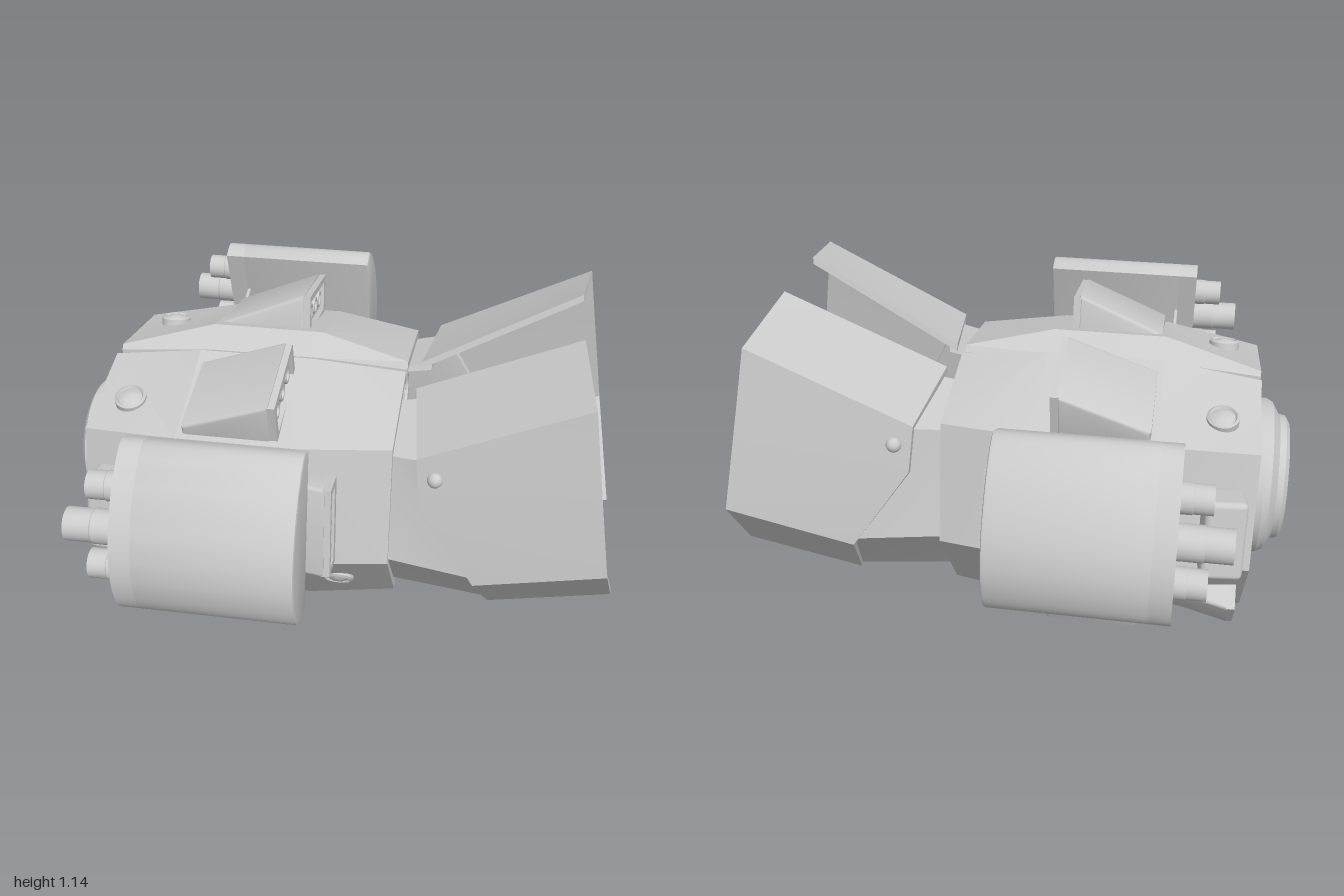
import * as THREE from 'three';
import { toCreasedNormals } from 'three/addons/utils/BufferGeometryUtils.js';
import { RoundedBoxGeometry } from 'three/addons/geometries/RoundedBoxGeometry.js';

const grey = new THREE.MeshStandardMaterial({ color: 0xcccccc });

function add(parent, name, geo, x = 0, y = 0, z = 0) {
  const m = new THREE.Mesh(geo, grey);
  m.name = name;
  m.position.set(x, y, z);
  parent.add(m);
  return m;
}

// Thick faceted plate through cross-sections of [x, y, z], thickened towards the long axis
function plate(outer, t) {
  const O = outer.map(r => r.map(p => new THREE.Vector3(...p)));
  const I = O.map(r => r.map(p => p.clone().addScaledVector(new THREE.Vector3(0, 0.45 - p.y, -p.z).normalize(), t)));
  const pts = [];
  const quad = (a, b, c, d) => pts.push(a, b, c, a, c, d);
  const m = O.length - 1, n = O[0].length - 1;
  for (let i = 0; i < m; i++) {
    for (let j = 0; j < n; j++) {
      quad(O[i][j], O[i][j + 1], O[i + 1][j + 1], O[i + 1][j]);
      quad(I[i][j], I[i + 1][j], I[i + 1][j + 1], I[i][j + 1]);
    }
    quad(O[i][0], O[i + 1][0], I[i + 1][0], I[i][0]);
    quad(O[i + 1][n], O[i][n], I[i][n], I[i + 1][n]);
  }
  for (let j = 0; j < n; j++) {
    quad(O[0][j + 1], O[0][j], I[0][j], I[0][j + 1]);
    quad(O[m][j], O[m][j + 1], I[m][j + 1], I[m][j]);
  }
  return toCreasedNormals(new THREE.BufferGeometry().setFromPoints(pts), 0.22);
}

// Turned part along x; dir is the way the profile's height points
function turned(profile, dir, seg = 40) {
  const g = new THREE.LatheGeometry(profile.map(p => new THREE.Vector2(...p)), seg);
  return toCreasedNormals(g.rotateZ(-dir * Math.PI / 2), 0.4);
}

// Outline in (z, y), extruded along x from x0 to x1
function alongX(shape, x0, x1, bevel = 0) {
  const g = new THREE.ExtrudeGeometry(shape, {
    depth: x1 - x0 - 2 * bevel, bevelEnabled: bevel > 0, bevelSize: bevel, bevelThickness: bevel,
    bevelOffset: -bevel, bevelSegments: 2,
  });
  // local x becomes -z, so outlines are given with z negated
  return toCreasedNormals(g.rotateY(Math.PI / 2).translate(x0 + bevel, 0, 0), 0.6);
}
const shape = pts => new THREE.Shape(pts.map(p => new THREE.Vector2(...p)));
const outline = pts => shape(pts.map(([z, y]) => [-z, y]));

// Group whose local x runs along the hull (dir) and local z points out of the face
function mount(parent, name, x, y, z, ny, nz, dir = 1) {
  const g = new THREE.Group();
  g.name = name;
  const X = new THREE.Vector3(dir, 0, 0), N = new THREE.Vector3(0, ny, nz).normalize();
  g.quaternion.setFromRotationMatrix(new THREE.Matrix4().makeBasis(X, N.clone().cross(X), N));
  g.position.set(x, y, z);
  parent.add(g);
  return g;
}

// Soft-edged wedge, L long and W wide, rising from h0 to h1
function wedge(g, L, W, h0, h1, base) {
  const b = 0.014;
  const s = shape([[b, base], [L - b, base], [L - b, h1 - b], [b, h0 - b]]);
  const geo = new THREE.ExtrudeGeometry(s, { depth: W - 2 * b, bevelSize: b, bevelThickness: b, bevelSegments: 3 });
  add(g, 'wedgeBody', toCreasedNormals(geo.rotateX(Math.PI / 2).translate(0, W / 2 - b, 0), 0.6));
}

// Wedge vent with a framed opening and three round outlets at its high end
function scoop(g, L, W, H, base = -0.06) {
  const d = 0.03;
  wedge(g, L - d + 0.01, W, 0.02, H, base);
  const rect = (w, lo, hi) => shape([[-w, lo], [w, lo], [w, hi], [-w, hi]]);
  const frame = rect(W / 2 - 0.004, base, H - 0.002);
  frame.holes.push(rect(W / 2 - 0.03, 0, H - 0.025));
  const fg = new THREE.ExtrudeGeometry(frame, { depth: d, bevelEnabled: false });
  add(g, 'scoopFrame', fg.rotateX(Math.PI / 2).rotateZ(Math.PI / 2).translate(L - d, 0, 0));
  const r = Math.min(0.032, (H - 0.03) / 2);
  for (const k of [-1, 0, 1]) {
    add(g, 'scoopOutlet', turned([[r, 0], [r, 0.012], [r * 0.7, 0.012], [r * 0.6, 0.003], [0, 0.003]], 1, 16),
      L - d + 0.01, k * (W - 0.06) / 3.1, (H - 0.025) / 2);
  }
}

function cap(g, r) {
  const geo = turned([[r, -0.03], [r, 0.006], [r * 0.85, 0.012], [r * 0.75, 0.004], [r * 0.4, 0.014], [0, 0.018]], 1, 28);
  add(g, 'capDisc', geo.rotateY(-Math.PI / 2));
}

function buildSide() {
  const s = new THREE.Group();

  // Armour shell: gap edge, ridge, shoulder, waist, lower lip
  const section = (x, a) => [0, 1, 2, 3, 4].map(i => [x, a[2 * i], a[2 * i + 1]]);
  add(s, 'armourShell', plate([
    section(-0.87, [0.855, 0.02, 0.87, 0.035, 0.79, 0.41, 0.38, 0.49, 0.04, 0.24]),
    section(-0.53, [0.885, 0.02, 0.95, 0.095, 0.83, 0.48, 0.39, 0.55, 0, 0.26]),
    section(-0.12, [0.885, 0.02, 0.95, 0.095, 0.83, 0.48, 0.39, 0.55, 0, 0.26]),
    section(0.2, [0.865, 0.02, 0.89, 0.035, 0.81, 0.41, 0.38, 0.49, 0.04, 0.24]),
  ], 0.035));

  // Sleeve and exhaust petal
  add(s, 'petalSleeve', plate([
    [[0.17, 0.82, 0.12], [0.17, 0.775, 0.39], [0.17, 0.39, 0.47], [0.17, 0.13, 0.27]],
    [[0.28, 0.84, 0.12], [0.32, 0.79, 0.43], [0.52, 0.37, 0.515], [0.57, 0.095, 0.29]],
  ], 0.025));
  add(s, 'exhaustPetal', plate([
    [[0.245, 0.86, 0.09], [0.285, 0.815, 0.455], [0.3, 0.65, 0.485], [0.5, 0.36, 0.535], [0.555, 0.085, 0.30]],
    [[0.80, 1.145, 0.16], [0.84, 1.08, 0.485], [0.87, 0.9, 0.512], [0.94, 0.49, 0.575], [1.0, 0.16, 0.28]],
  ], 0.025));
  add(s, 'petalBolt', new THREE.SphereGeometry(0.027, 20, 14), 0.35, 0.75, 0.472);

  // Vents, blocks and caps on the shell faces
  scoop(mount(s, 'topScoop', -0.51, 0.887, 0.3, 0.98, 0.2), 0.33, 0.33, 0.135, -0.08);
  scoop(mount(s, 'sideScoop', -0.33, 0.57, 0.525, 0.16, 0.985), 0.35, 0.34, 0.085);
  scoop(mount(s, 'frontScoop', -0.56, 0.17, 0.365, -0.577, 0.816, -1), 0.28, 0.16, 0.075, -0.04);
  const lower = mount(s, 'lowerBlock', -0.335, 0.365, 0.532, -0.577, 0.816);
  lower.rotateZ(-Math.PI / 2);
  wedge(lower, 0.345, 0.33, 0.035, 0.1, -0.03);
  const block = mount(s, 'sideBlock', -0.765, 0.54, 0.52, 0.16, 0.985);
  block.rotateY(-0.12);
  add(block, 'blockPlate', new RoundedBoxGeometry(0.14, 0.28, 0.13, 3, 0.02));
  cap(mount(s, 'roofCap', -0.74, 0.85, 0.29, 0.96, 0.26), 0.055);
  cap(mount(s, 'lowerCap', 0.01, 0.22, 0.402, -0.577, 0.816), 0.058);

  // Gun pod: D-shaped housing with a rimmed front and three barrels
  const arc = new THREE.SplineCurve([[0.65, 0.955], [0.73, 0.975], [0.845, 0.885], [0.93, 0.75],
    [0.96, 0.62], [0.94, 0.5], [0.885, 0.435], [0.79, 0.405]].map(p => new THREE.Vector2(...p)));
  const pod = arc.getPoints(36).map(p => [p.x, p.y]);
  const rim = outline(pod);
  rim.holes.push(outline(pod.map(([z, y]) => [0.81 + (z - 0.81) * 0.84, 0.69 + (y - 0.69) * 0.9])));
  add(s, 'podHousing', alongX(outline(pod), -0.56, -0.035, 0.01));
  add(s, 'podRim', alongX(rim, -0.62, -0.55));
  for (const [y, z, r, len] of [[0.84, 0.775, 0.05, 0.16], [0.715, 0.828, 0.058, 0.23], [0.58, 0.852, 0.052, 0.16]]) {
    add(s, 'barrel', turned([[r, 0], [r, len * 0.6], [r * 0.95, len * 0.62], [r * 0.95, len], [r * 0.68, len],
      [r * 0.6, len - 0.08], [0, len - 0.08]], -1, 28), -0.56, y, z);
  }
  for (const x of [-0.545, -0.315]) {
    for (const [z0, y0, z1, y1] of [[0.47, 0.715, 0.72, 0.79], [0.5, 0.55, 0.8, 0.495]]) {
      const path = new THREE.LineCurve3(new THREE.Vector3(x, y0, z0), new THREE.Vector3(x, y1, z1));
      add(s, 'podStrut', new THREE.TubeGeometry(path, 1, 0.008, 10));
    }
  }

  // Exhaust nozzles
  for (const [y, z] of [[0.65, 0.215], [0.41, 0.26]]) {
    add(s, 'nozzle', turned([[0.105, 0], [0.105, 0.05], [0.095, 0.07], [0.085, 0.07], [0.08, 0.11], [0.065, 0.11],
      [0.052, 0.01], [0, 0.01]], 1), 0.07, y, z);
  }
  return s;
}

export function createModel() {
  const model = new THREE.Group();
  model.name = 'thrusterPod';

  const left = buildSide(), right = buildSide();
  left.name = 'leftSide';
  right.name = 'rightSide';
  right.scale.z = -1;
  model.add(left, right);

  // Inner core and rear panels
  const mirrored = half => outline([...half, ...half.map(([z, y]) => [-z, y]).reverse()]);
  add(model, 'core', alongX(mirrored([[0.04, 0.83], [0.37, 0.76], [0.45, 0.4], [0.24, 0.145]]), -0.75, 0.07));
  add(model, 'upperRearPanel', alongX(mirrored([[0.035, 0.75], [0.095, 0.37]]), 0.06, 0.085, 0.006));
  add(model, 'upperRearInset', alongX(mirrored([[0.018, 0.72], [0.06, 0.4]]), 0.08, 0.095, 0.004));
  add(model, 'lowerRearPanel', alongX(mirrored([[0.075, 0.345], [0.2, 0.165]]), 0.06, 0.085, 0.006));
  add(model, 'lowerRearInset', alongX(mirrored([[0.055, 0.315], [0.145, 0.195]]), 0.08, 0.095, 0.004));

  // Belly plate, rising towards both ends
  const belly = shape([[-0.75, 0.16], [-0.85, 0.13], [-0.53, 0.07], [-0.12, 0.07], [0.2, 0.145], [0.2, 0.155], [0.07, 0.16]]);
  add(model, 'belly', new THREE.ExtrudeGeometry(belly, { depth: 0.47, bevelEnabled: false }), 0, 0, -0.235);

  // Round nose with stepped rings and a shallow lens
  add(model, 'nose', turned([[0.27, 0.72], [0.27, 0.85], [0.285, 0.86], [0.285, 0.905], [0.272, 0.93], [0.23, 0.955],
    [0.226, 0.978], [0.205, 0.992], [0.19, 0.992], [0.182, 0.972], [0.17, 0.974], [0.12, 0.988], [0.06, 0.997], [0, 1.0]],
  -1, 56), 0, 0.46, 0);
  return model;
}
